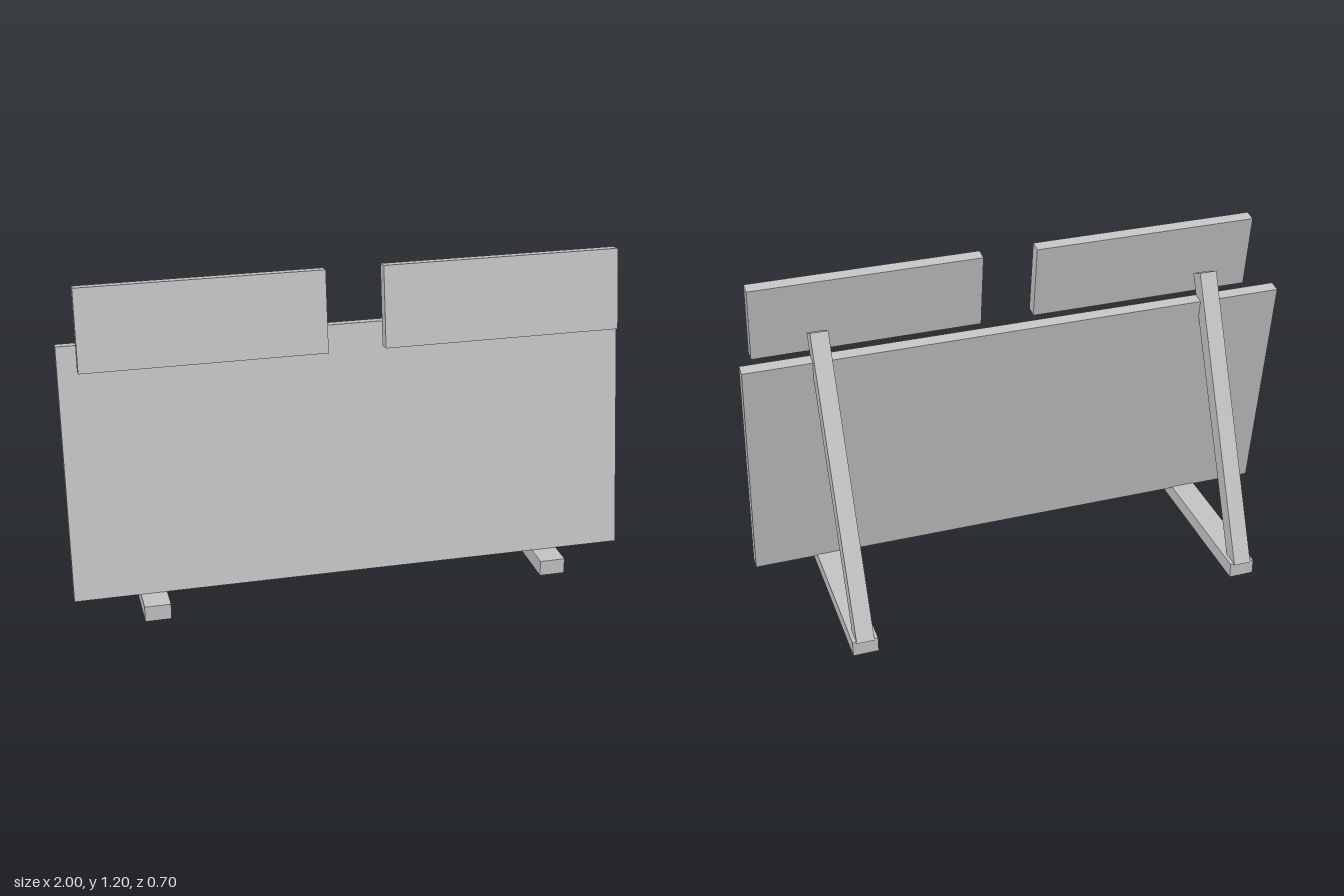
import * as THREE from 'three';

export function createModel() {
  const group = new THREE.Group();
  const grey = new THREE.MeshStandardMaterial({ color: 0xc4c4c4 });
  grey.name = 'light grey';

  const addBox = (name, size, position, tilt = 0) => {
    const mesh = new THREE.Mesh(new THREE.BoxGeometry(...size), grey);
    mesh.name = name;
    mesh.position.set(...position);
    mesh.rotation.x = tilt;
    group.add(mesh);
  };

  // Large board leaning back
  const lean = -0.15;
  addBox('mainPanel', [2, 0.904, 0.046], [0, 0.503, 0.172], lean);

  for (const [side, s] of [['left', 1], ['right', -1]]) {
    // Small board floating above and in front, parallel to the large one
    addBox(side + 'UpperPanel', [0.84, 0.285, 0.046], [s * 0.52, 1.051, 0.249], lean);
    // Floor runner and the strut rising from its back end
    addBox(side + 'Foot', [0.092, 0.057, 0.694], [s * 0.722, 0.0285, 0.004]);
    addBox(side + 'Strut', [0.064, 1.095, 0.064], [s * 0.722, 0.54, -0.0955], 0.4195);
  }
  return group;
}
